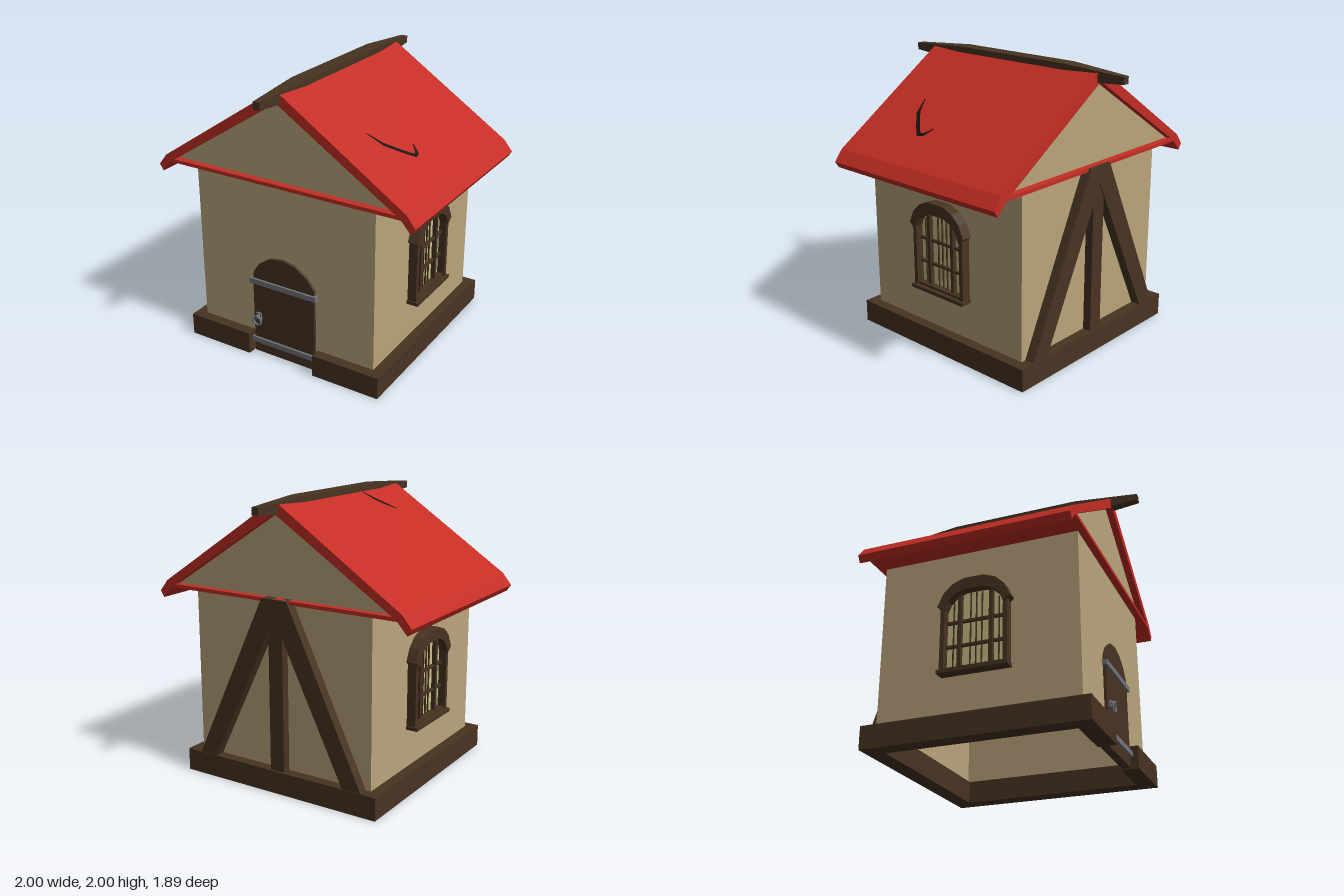
import * as THREE from 'three';

const mat = (name, color, side = THREE.FrontSide) => {
  const m = new THREE.MeshStandardMaterial({ color, side });
  m.name = name;
  return m;
};

export function createModel() {
  const plaster = mat('plaster', 0xbaa57c);
  const red = mat('red roof', 0xc42d24);
  const wood = mat('dark wood', 0x483422);
  const glass = mat('pale glass', 0xcfc287);
  const iron = mat('grey iron', 0x71757a);
  const crackDark = mat('crack dark', 0x18100d, THREE.DoubleSide);

  const house = new THREE.Group();
  house.name = 'house';

  const add = (parent, name, geometry, material) => {
    const m = new THREE.Mesh(geometry, material);
    m.name = name;
    parent.add(m);
    return m;
  };
  const box = (parent, name, material, w, h, d, x, y, z) => {
    const m = add(parent, name, new THREE.BoxGeometry(w, h, d), material);
    m.position.set(x, y, z);
    return m;
  };
  const poly = (pts) => new THREE.Shape(pts.map((p) => new THREE.Vector2(...p)));
  // Half profile, completed by its mirror image
  const mirrored = (pts) => poly([...pts, ...pts.map(([x, y]) => [-x, y]).reverse()]);
  const slab = (shape, z0, z1) =>
    new THREE.ExtrudeGeometry(shape, { depth: z1 - z0, bevelEnabled: false }).translate(0, 0, z0);
  const layFlat = (shape, y0, y1) => slab(shape, y0, y1).rotateX(-Math.PI / 2);

  // Walls: hollow square, open underneath
  const square = (r) => [[-r, -r], [r, -r], [r, r], [-r, r]];
  const ring = poly(square(0.7));
  ring.holes.push(poly(square(0.675)));
  add(house, 'walls', layFlat(ring, 0.04, 1.34), plaster);

  // Base beam with a gap for the door
  const base = mirrored([[0.265, -0.775], [0.775, -0.775], [0.775, 0.775], [0, 0.775]].reverse()
    .concat([[0.265, -0.65]]).concat([[0.65, -0.65], [0.65, 0.65], [0, 0.65]]));
  add(house, 'baseBeam', layFlat(base, 0.005, 0.165), wood);

  // Roof: slopes with flared eaves and a tie plate, around an open gable
  const gableProfile = [[0.865, 1.355], [0, 1.91]];
  const roof = mirrored([[0.9, 1.33], [0.97, 1.25], [1.0, 1.295], [0.935, 1.375], [0.03, 1.975]]);
  roof.holes.push(mirrored([gableProfile[0], [0.001, 1.91]]));
  add(house, 'roof', slab(roof, -0.75, 0.75), red);
  add(house, 'gables', slab(poly([[-0.865, 1.355], ...gableProfile]), -0.7, 0.7), plaster);

  // Ridge beam: a box narrowed toward both ends
  const ridge = new THREE.BoxGeometry(1, 1, 1, 1, 1, 3).toNonIndexed();
  const rp = ridge.attributes.position;
  for (let i = 0; i < rp.count; i++) {
    const end = Math.abs(rp.getZ(i)) > 0.3;
    rp.setXYZ(i,
      rp.getX(i) * (end ? 0.05 : 0.11),
      1.945 + rp.getY(i) * (end ? 0.05 : 0.11),
      Math.sign(rp.getZ(i)) * (end ? 0.945 : 0.48));
  }
  ridge.computeVertexNormals();
  add(house, 'ridgeBeam', ridge, wood);

  // Cracks: thin tapered ribbons lying on the slopes
  const cracks = [
    [[0.46, 0.41], [0.56, 0.37], [0.65, 0.28], [0.71, 0.21], [0.7, 0.17], [0.65, 0.13]],
    [[-0.25, 0.39], [-0.19, 0.32], [-0.13, 0.26], [-0.06, 0.22]],
  ];
  cracks.forEach((line) => {
    const sides = [1, -1].map((s) => line.map(([x, z], i) => {
      const a = line[Math.max(i - 1, 0)], b = line[Math.min(i + 1, line.length - 1)];
      const dx = b[0] - a[0], dz = b[1] - a[1], len = Math.hypot(dx, dz);
      const w = s * (i === 0 || i === line.length - 1 ? 0.004 : 0.013);
      return [x - dz / len * w, -(z + dx / len * w)];
    }));
    const g = new THREE.ShapeGeometry(poly([...sides[0], ...sides[1].reverse()])).rotateX(-Math.PI / 2);
    const p = g.attributes.position;
    for (let i = 0; i < p.count; i++) p.setY(i, 1.999 - 0.663 * Math.abs(p.getX(i)));
    g.computeVertexNormals();
    add(house, 'roofCrack', g, crackDark);
  });

  // Door with iron straps and a ring handle
  const door = new THREE.Group();
  door.name = 'door';
  house.add(door);
  const leaf = poly([[-0.25, 0.01], [0.25, 0.01], [0.25, 0.63], [0.19, 0.71], [0.1, 0.77],
    [0, 0.792], [-0.11, 0.775], [-0.2, 0.71], [-0.24, 0.65], [-0.25, 0.6]]);
  add(door, 'doorLeaf', slab(leaf, 0.66, 0.72), wood);
  for (const y of [0.108, 0.578]) box(door, 'strap', iron, 0.54, 0.038, 0.05, 0, y, 0.711);
  box(door, 'handlePlate', iron, 0.04, 0.05, 0.02, -0.205, 0.305, 0.725);
  const knob = add(door, 'handleKnob', new THREE.CylinderGeometry(0.013, 0.013, 0.04, 8).rotateX(Math.PI / 2), iron);
  knob.position.set(-0.205, 0.31, 0.742);
  const handle = add(door, 'handleRing', new THREE.TorusGeometry(0.032, 0.009, 6, 14), iron);
  handle.position.set(-0.205, 0.28, 0.752);

  // Back timber frame: post and two raking braces
  const frame = new THREE.Group();
  frame.name = 'backTimbers';
  house.add(frame);
  box(frame, 'post', wood, 0.11, 1.15, 0.06, 0, 0.725, -0.73);
  for (const s of [1, -1]) {
    const brace = poly([[0.67, 0.15], [0.1, 1.355], [0, 1.355], [0, 1.23], [0.53, 0.15]]
      .map(([x, y]) => [x * s, y]));
    add(frame, 'brace', slab(brace, -0.77, -0.69), wood);
  }

  // Arched window, built facing +z and turned to each side wall
  const makeWindow = (s) => {
    const w = new THREE.Group();
    w.name = s > 0 ? 'leftWindow' : 'rightWindow';
    w.rotation.y = s * Math.PI / 2;
    house.add(w);
    const inner = [[0.21, 0.88], [0.18, 0.95], [0.13, 0.995], [0.07, 1.018]];
    const outer = [[0.257, 0.92], [0.215, 1.01], [0.15, 1.07], [0.07, 1.1]];
    add(w, 'pane', slab(mirrored([[0.212, 0.46], ...inner]), 0.69, 0.709), glass);
    add(w, 'arch', slab(mirrored([...[...inner].reverse(), ...outer]
      .slice(0, 4).concat(outer)), 0.69, 0.775), wood);
    for (const x of [-0.22, 0.22]) box(w, 'jamb', wood, 0.03, 0.45, 0.08, x, 0.675, 0.725);
    box(w, 'sill', wood, 0.49, 0.025, 0.095, 0, 0.455, 0.7375);
    box(w, 'lowerRail', wood, 0.42, 0.02, 0.06, 0, 0.475, 0.725);
    for (const x of [-0.11, 0.11]) box(w, 'mullion', wood, 0.026, 0.54, 0.04, x, 0.73, 0.72);
    for (const x of [-0.16, -0.04, 0, 0.04, 0.16])
      box(w, 'glazingBar', wood, 0.007, Math.abs(x) > 0.1 ? 0.49 : 0.54, 0.015, x, Math.abs(x) > 0.1 ? 0.71 : 0.74, 0.712);
    for (const y of [0.64, 0.81]) box(w, 'crossBar', wood, 0.42, 0.018, 0.03, 0, y, 0.715);
  };
  makeWindow(1);
  makeWindow(-1);

  return house;
}
